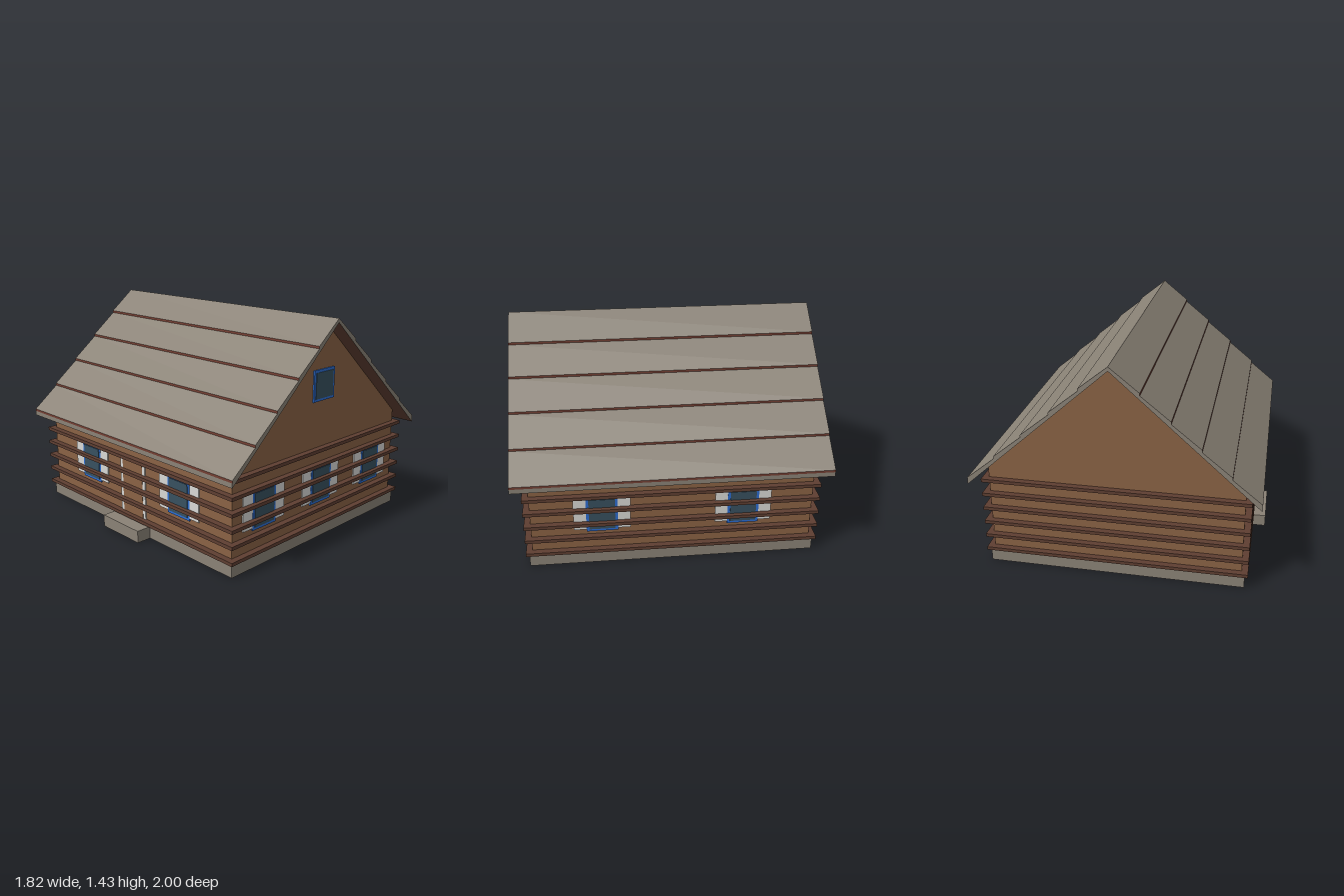
import * as THREE from 'three';
import { mergeGeometries } from 'three/addons/utils/BufferGeometryUtils.js';

const mat = (name, color, side = THREE.FrontSide) => {
  const m = new THREE.MeshStandardMaterial({ color, side });
  m.name = name;
  return m;
};

export function createModel() {
  const stone = mat('stone grey', 0x8a8276, THREE.DoubleSide);
  const wood = mat('wall brown', 0x8a6244);
  const log = mat('dark log brown', 0x5e3e31);
  const batten = mat('red brown', 0x743f33, THREE.DoubleSide);
  const blue = mat('frame blue', 0x2c6cd0);
  const glass = mat('window glass', 0x37505f);
  const white = mat('shutter white', 0xd8d8d5);

  const model = new THREE.Group();
  model.name = 'logCabin';
  const cabin = new THREE.Group();
  cabin.name = 'cabin';
  cabin.position.x = 0.01;
  model.add(cabin);

  const add = (parent, name, geometry, material, x = 0, y = 0, z = 0) => {
    const mesh = new THREE.Mesh(geometry, material);
    mesh.name = name;
    mesh.position.set(x, y, z);
    parent.add(mesh);
    return mesh;
  };
  const box = (parent, name, material, w, h, d, x, y, z) =>
    add(parent, name, new THREE.BoxGeometry(w, h, d), material, x, y, z);

  // Box shell with an open underside
  const openBox = (w, h, d) => {
    const g = new THREE.BoxGeometry(w, h, d);
    const index = Array.from(g.index.array);
    index.splice(18, 6);
    g.setIndex(index);
    g.clearGroups();
    return g;
  };
  add(cabin, 'foundation', openBox(1.64, 0.08, 1.84), stone, 0, 0.04, 0);
  add(cabin, 'doorStep', openBox(0.1, 0.08, 0.36), stone, -0.87, 0.04, 0);

  // Walls with gables
  const wallShape = new THREE.Shape([
    [-0.8, 0.082], [0.8, 0.082], [0.8, 0.685], [0, 1.4], [-0.8, 0.685],
  ].map(([x, y]) => new THREE.Vector2(x, y)));
  const wallGeo = new THREE.ExtrudeGeometry(wallShape, { depth: 1.8, bevelEnabled: false });
  add(cabin, 'walls', wallGeo, wood, 0, 0, -0.9);

  // Log courses around the house
  for (let i = 1; i <= 6; i++) {
    box(cabin, 'logCourse', log, 1.68, 0.022, 1.88, 0, i * 0.1 - 0.003, 0);
  }

  // Windows: local +z points out of the wall
  const windowUnit = (name, x, y, z, turn, h, shutters) => {
    const g = new THREE.Group();
    g.name = name;
    g.position.set(x, y, z);
    g.rotation.y = turn;
    cabin.add(g);
    if (shutters) {
      for (const s of [-1, 1]) box(g, 'shutter', white, 0.085, 0.22, 0.008, s * 0.1375, 0, 0.004);
    }
    box(g, 'frame', blue, 0.2, h, 0.009, 0, 0, 0.0045);
    box(g, 'pane', glass, 0.166, h - 0.034, 0.006, 0, 0, 0.01);
  };
  for (const x of [-0.535, 0, 0.535]) windowUnit('frontWindow', x, 0.358, 0.9, 0, 0.25, true);
  windowUnit('gableWindow', 0, 1.01, 0.9, 0, 0.2, false);
  for (const s of [-1, 1]) {
    for (const z of [-0.45, 0.45]) {
      windowUnit('sideWindow', s * 0.8, 0.358, z, s * Math.PI / 2, 0.25, true);
    }
  }

  // Door above the step
  const door = new THREE.Group();
  door.name = 'door';
  door.position.set(-0.8, 0.29, 0);
  door.rotation.y = -Math.PI / 2;
  cabin.add(door);
  box(door, 'doorLeaf', wood, 0.2, 0.42, 0.009, 0, 0, 0.0045);
  for (const s of [-1, 1]) box(door, 'doorTrim', white, 0.025, 0.42, 0.008, s * 0.1125, 0, 0.004);

  // Roof: overlapping rows stepping down to the eaves
  const rows = 5, run = 0.18, fall = 0.145, drop = 0.015;
  const strip = (a, b, s) => {
    const [p, q] = s > 0 ? [a, b] : [b, a];
    const g = new THREE.BufferGeometry();
    g.setAttribute('position', new THREE.Float32BufferAttribute([
      s * p[0], p[1], 1, s * q[0], q[1], 1, s * q[0], q[1], -1, s * p[0], p[1], -1,
    ], 3));
    g.setIndex([0, 1, 2, 0, 2, 3]);
    g.computeVertexNormals();
    return g;
  };
  for (const s of [-1, 1]) {
    const tops = [], butts = [], outline = [[0, 1.43]];
    for (let i = 0; i < rows; i++) {
      const y = 1.43 - i * (fall + drop);
      const a = [i * run, y], b = [(i + 1) * run, y - fall], c = [(i + 1) * run, y - fall - drop];
      tops.push(strip(a, b, s));
      butts.push(strip(b, c, s));
      outline.push(b, c);
    }
    const eave = [rows * run, 0.6], under = [0, 1.404];
    tops.push(strip(outline[outline.length - 1], eave, s));
    outline.push(eave, under);
    add(cabin, 'roofRows', mergeGeometries(tops), stone);
    add(cabin, 'roofRowEdges', mergeGeometries(butts), batten);
    add(cabin, 'roofUnderside', strip(eave, under, s), log);
    // Gable edges of the roof
    const cap = new THREE.Shape(outline.map(([x, y]) => new THREE.Vector2(s * x, y)));
    add(cabin, 'roofFrontEdge', new THREE.ShapeGeometry(cap), stone, 0, 0, 1);
    add(cabin, 'roofBackEdge', new THREE.ShapeGeometry(cap), stone, 0, 0, -1).rotation.y = Math.PI;
  }
  // The turned back caps swap sides, so the pair still covers both slopes
  return model;
}
